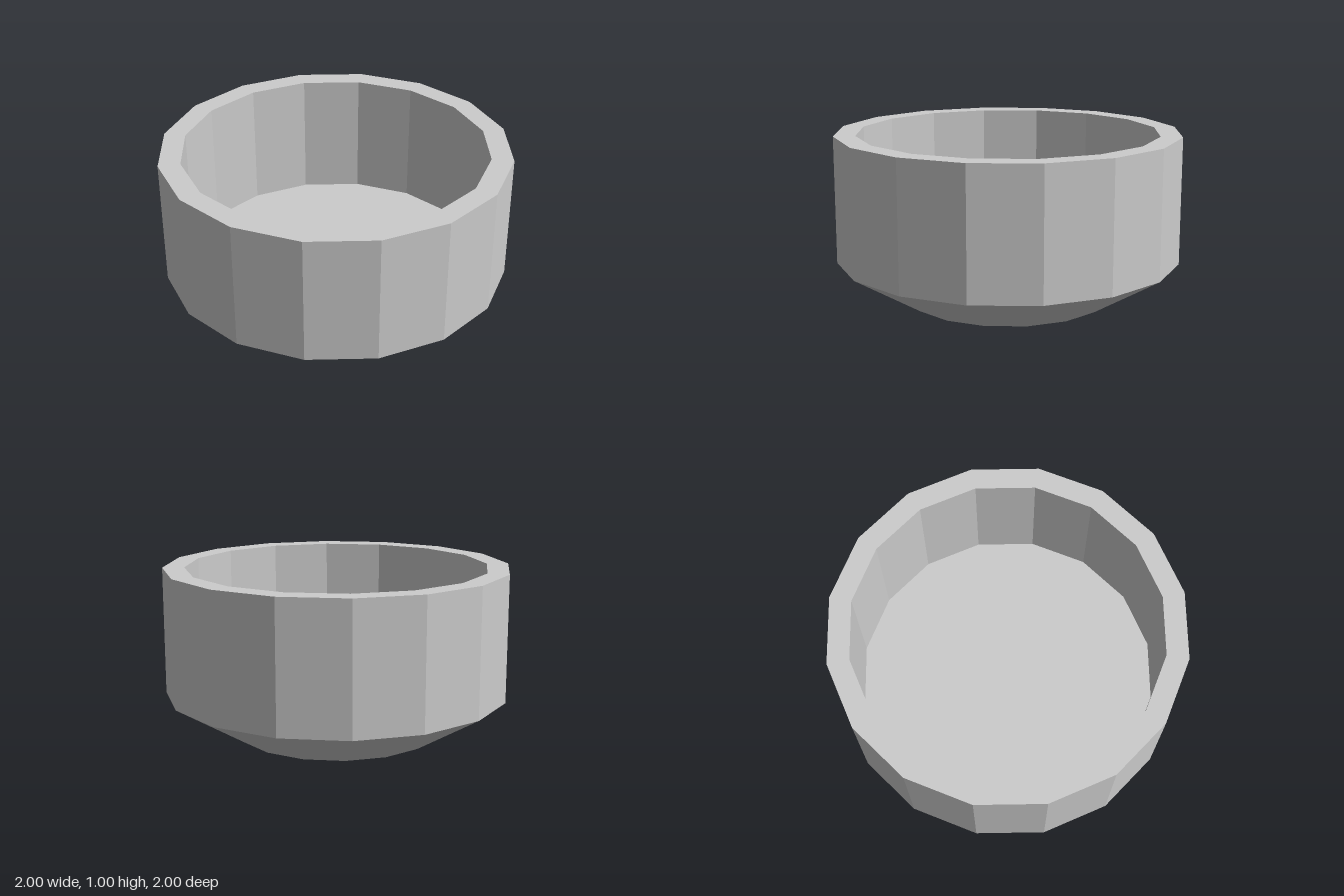
import * as THREE from 'three';

const SIDES = 16;

export function createModel() {
  const group = new THREE.Group();
  group.name = 'bowl';
  const material = new THREE.MeshStandardMaterial({ color: 0xcccccc, flatShading: true });

  // Profiles are [distance to flat side, height]; scaled out to the corners
  const toCorner = 1 / Math.cos(Math.PI / SIDES);
  const addRing = (name, profile) => {
    const points = profile.map(([r, y]) => new THREE.Vector2(r * toCorner, y));
    const geometry = new THREE.LatheGeometry(points, SIDES, Math.PI / SIDES);
    const mesh = new THREE.Mesh(geometry, material);
    mesh.name = name;
    group.add(mesh);
  };

  // Flat underside and tapered base
  addRing('base', [[0, 0], [0.595, 0], [1, 0.25]]);
  // Outer wall, flat rim and inner wall
  addRing('wall', [[1, 0.25], [1, 1], [0.875, 1], [0.875, 0.25]]);
  // Flat floor inside
  addRing('floor', [[0.875, 0.25], [0, 0.25]]);

  return group;
}
